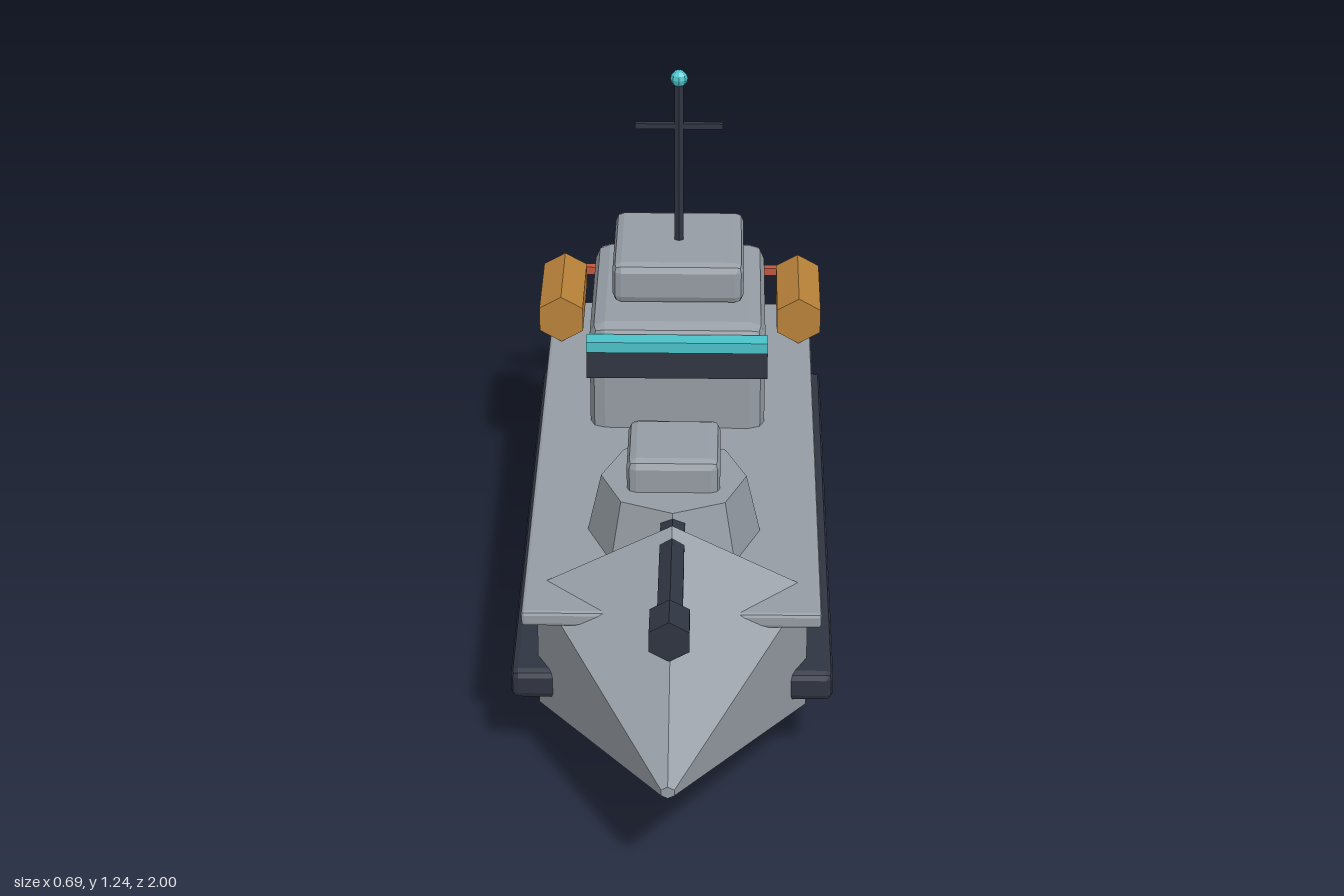
import * as THREE from 'three';
import { RoundedBoxGeometry } from 'three/addons/geometries/RoundedBoxGeometry.js';

const paint = (name, color) => new THREE.MeshStandardMaterial({ name, color, flatShading: true });

// Hull from stacked six-sided outlines, each pointed at bow and stern
function hullGeometry(sections) {
  const rings = sections.map(([y, halfWidth, bow, shoulder, quarter, stern]) => [
    [0, y, bow], [halfWidth, y, shoulder], [halfWidth, y, quarter],
    [0, y, stern], [-halfWidth, y, quarter], [-halfWidth, y, shoulder],
  ]);
  const index = [];
  const last = (rings.length - 1) * 6;
  for (let r = 0; r < rings.length - 1; r++) {
    for (let i = 0; i < 6; i++) {
      const a = r * 6 + i, b = r * 6 + (i + 1) % 6;
      index.push(a, b, b + 6, a, b + 6, a + 6);
    }
  }
  for (let i = 1; i < 5; i++) {
    index.push(0, i + 1, i, last, last + i, last + i + 1);
  }
  const geometry = new THREE.BufferGeometry();
  geometry.setAttribute('position', new THREE.Float32BufferAttribute(rings.flat(2), 3));
  geometry.setIndex(index);
  geometry.computeVertexNormals();
  return geometry;
}

export function createModel() {
  const ship = new THREE.Group();
  ship.name = 'patrolBoat';

  const grey = paint('hullGrey', 0x969da5);
  const dark = paint('darkSteel', 0x2f3542);
  const teal = paint('tealGlow', 0x4cc3cb);
  const orange = paint('orangeDrum', 0xb9823a);
  const red = paint('redBar', 0xc4573f);

  const add = (name, geometry, material, x, y, z) => {
    const mesh = new THREE.Mesh(geometry, material);
    mesh.name = name;
    mesh.position.set(x, y, z);
    ship.add(mesh);
    return mesh;
  };
  const box = (w, h, d) => new THREE.BoxGeometry(w, h, d);
  // Box with every edge cut by a single chamfer
  const chamferBox = (w, h, d, c) => new RoundedBoxGeometry(w, h, d, 1, c);
  // Prism or cone lying along z, with a corner pointing up
  const along = (front, back, length, sides) =>
    new THREE.CylinderGeometry(front, back, length, sides).rotateX(Math.PI / 2);

  // Hull: [y, half width, bow z, front side z, rear side z, stern z]
  add('hull', hullGeometry([
    [0.14, 0.175, 0.46, 0.17, -0.55, -0.715],
    [0.20, 0.205, 0.52, 0.21, -0.575, -0.765],
    [0.435, 0.25, 0.63, 0.315, -0.636, -0.905],
  ]), grey, 0, 0, 0);
  add('bowCone', along(0.014, 0.3, 0.53, 6).scale(1.11, 1, 1), grey, 0, 0.3, 0.735);
  add('deck', chamferBox(0.63, 0.035, 1.4, 0.008), grey, 0, 0.444, -0.105);
  add('fenderSlab', chamferBox(0.69, 0.07, 1.34, 0.016), dark, 0, 0.235, -0.135);

  // Bridge tower
  add('tower', chamferBox(0.4, 0.3, 0.455, 0.035), grey, 0, 0.57, -0.41);
  add('towerTop', chamferBox(0.3, 0.1, 0.295, 0.02), grey, 0, 0.77, -0.443);
  add('bridgeWindow', box(0.41, 0.066, 0.032), dark, 0, 0.64, -0.17);
  add('bridgeVisor', box(0.41, 0.026, 0.04), teal, 0, 0.69, -0.165);

  // Mast
  add('mast', new THREE.CylinderGeometry(0.012, 0.012, 0.4, 6), dark, 0, 1.01, -0.438);
  add('mastCrossbar', box(0.2, 0.013, 0.013), dark, 0, 1.106, -0.438);
  add('mastLamp', new THREE.SphereGeometry(0.02, 8, 6), teal, 0, 1.222, -0.438);

  // Gun turret
  add('turretBase', new THREE.CylinderGeometry(0.157, 0.188, 0.14, 8), grey, 0, 0.528, 0.26);
  add('turretCap', chamferBox(0.2, 0.1, 0.195, 0.02), grey, 0, 0.622, 0.234);
  add('gunBarrel', along(0.03, 0.03, 0.42, 6), dark, 0, 0.556, 0.58);
  add('gunMuzzle', along(0.047, 0.047, 0.085, 6), dark, 0, 0.556, 0.8);

  // Drums at the rear corners
  for (const side of [1, -1]) {
    add(side > 0 ? 'leftDrum' : 'rightDrum', along(0.06, 0.06, 0.235, 6), orange, side * 0.285, 0.524, -0.708);
  }
  add('rearBar', box(0.665, 0.02, 0.02), red, 0, 0.456, -0.99);

  return ship;
}
